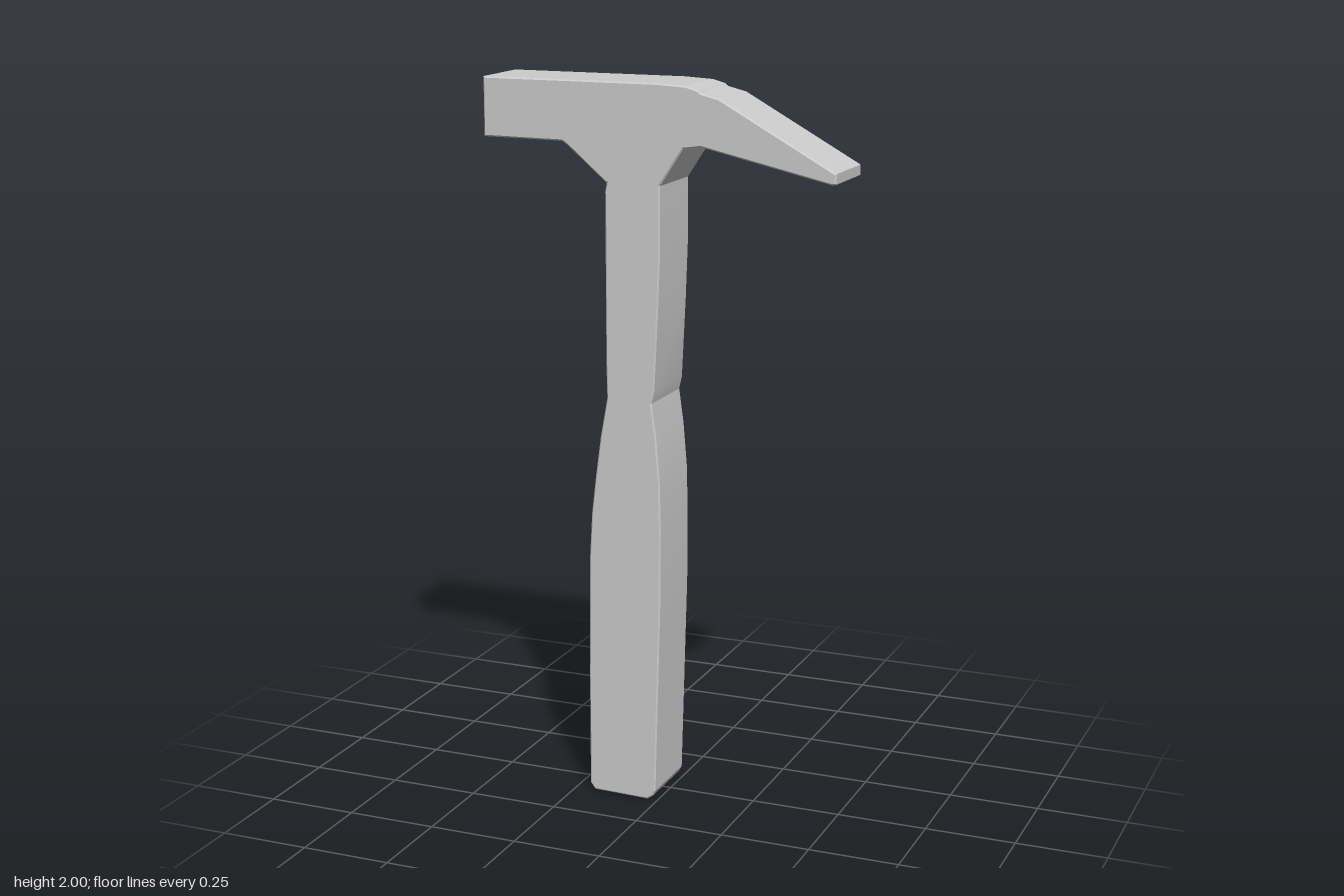
import * as THREE from 'three';
import { toCreasedNormals } from 'three/addons/utils/BufferGeometryUtils.js';

const DEPTH = 0.204;
const BEVEL = 0.004;

// Extrude a front outline along z, centred, with a fine edge bevel
function slab(name, outline, material) {
  const shape = new THREE.Shape(outline.map(([x, y]) => new THREE.Vector2(x, y)));
  const geometry = new THREE.ExtrudeGeometry(shape, {
    depth: DEPTH - 2 * BEVEL,
    bevelEnabled: true,
    bevelThickness: BEVEL,
    bevelSize: BEVEL,
    bevelOffset: -BEVEL,
    bevelSegments: 1,
  });
  geometry.translate(0, 0, BEVEL - DEPTH / 2);
  const mesh = new THREE.Mesh(toCreasedNormals(geometry, 0.2), material);
  mesh.name = name;
  return mesh;
}

export function createModel() {
  const group = new THREE.Group();
  group.name = 'hammer';
  const grey = new THREE.MeshStandardMaterial({ color: 0xcccccc });

  // Head: square striking block, sloping pick and flared neck
  group.add(slab('head', [
    [-0.5, 1.84], [-0.27, 1.838], [-0.255, 1.828], [-0.143, 1.733],
    [0.01, 1.733], [0.075, 1.833], [0.125, 1.84],
    [0.485, 1.76], [0.495, 1.763], [0.495, 1.79],
    [0.175, 1.967], [0.125, 1.979], [0.115, 1.987], [0.08, 1.996], [0, 2], [-0.5, 2],
  ], grey));

  // Handle: straight shaft, pinched waist and swelling grip, set into the neck
  group.add(slab('handle', [
    [-0.19, 0.007], [-0.03, 0.003], [-0.014, 0.014], [-0.006, 0.03],
    [0.003, 0.35], [0.01, 0.6], [0.011, 0.8], [0.008, 0.93], [-0.002, 1.05],
    [-0.015, 1.145], [-0.007, 1.18], [0.004, 1.4], [0.01, 1.56], [0.01, 1.745],
    [-0.14, 1.745], [-0.147, 1.71], [-0.147, 1.24], [-0.145, 1.15],
    [-0.165, 1.04], [-0.18, 0.93], [-0.193, 0.82], [-0.2, 0.7],
    [-0.204, 0.35], [-0.204, 0.025],
  ], grey));

  // Rest the butt on the ground
  const box = new THREE.Box3().setFromObject(group);
  group.children.forEach((part) => { part.position.y -= box.min.y; });
  return group;
}
